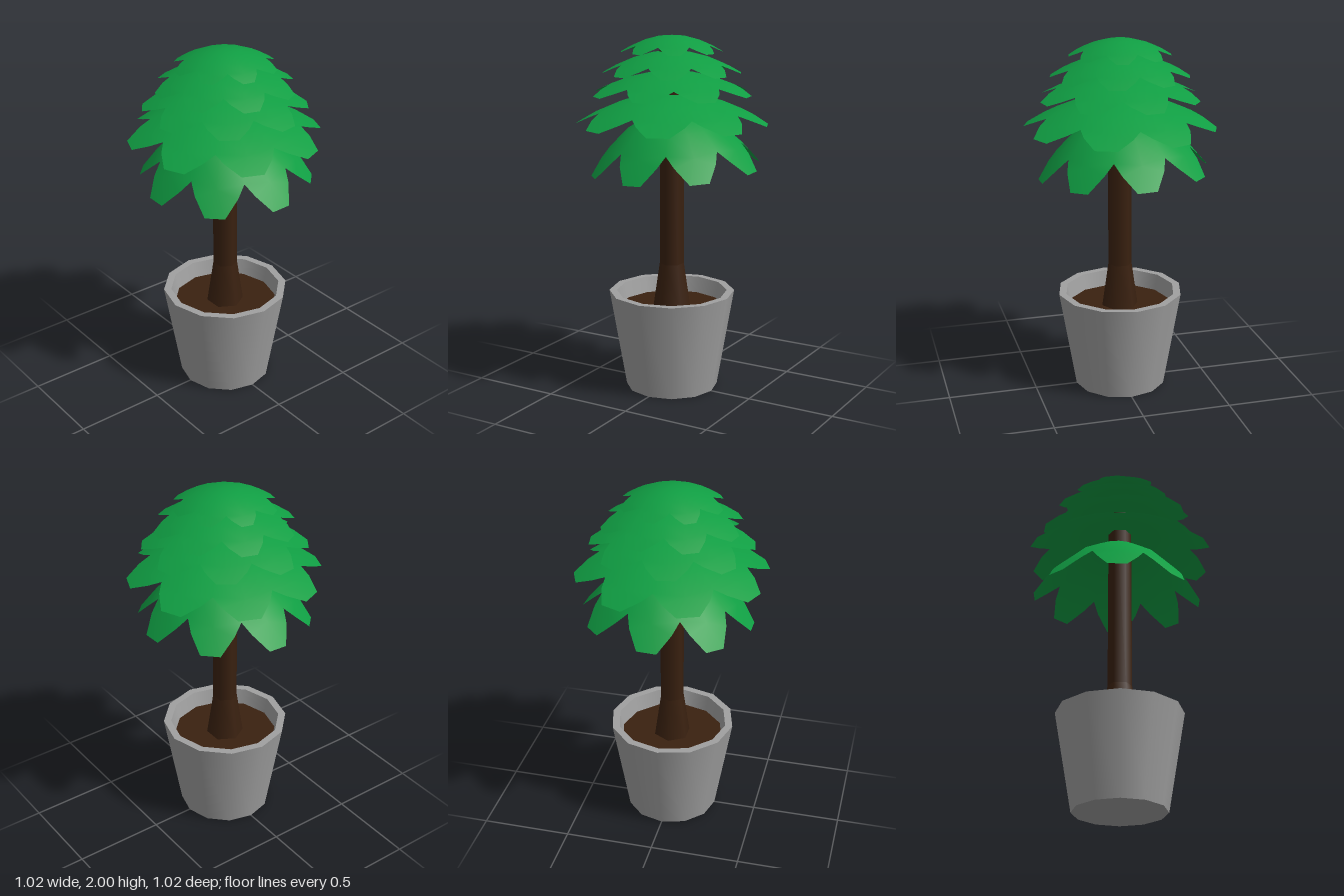
import * as THREE from 'three';
import { mergeVertices } from 'three/addons/utils/BufferGeometryUtils.js';

const LEAVES = 8;
const rad = THREE.MathUtils.degToRad;

// A dome of broad, blunt leaves joined at the middle; height falls with radius squared
function leafTier(radius, top, drop, turn) {
  const out = [];
  const tri = (...pts) => pts.forEach((p) => out.push(...p));
  const quad = (a, b, c, d) => { tri(a, b, c); tri(a, c, d); };
  for (let i = 0; i < LEAVES; i++) {
    const at = (t, offset) => {
      const a = rad(turn + (i * 360) / LEAVES + offset);
      return [radius * t * Math.cos(a), top - drop * t * t, -radius * t * Math.sin(a)];
    };
    const half = 180 / LEAVES;
    const rings = [[0.28, 0.28], [0.55, 0.55], [0.77, 0.8]].map(([edge, mid]) =>
      [at(edge, -half), at(mid, 0), at(edge, half)]);
    const centre = [0, top, 0];
    for (let s = 0; s < 2; s++) {
      tri(centre, rings[0][s], rings[0][s + 1]);
      for (let r = 0; r < 2; r++) {
        quad(rings[r][s], rings[r + 1][s], rings[r + 1][s + 1], rings[r][s + 1]);
      }
    }
    // Free end of the leaf, from notch to notch around its blunt tip
    const [v0, mid, v1] = rings[2];
    const rim = [v0, at(0.87, -16), at(1, -6.5), at(1, 6.5), at(0.87, 16), v1];
    for (let k = 0; k < rim.length - 1; k++) tri(mid, rim[k], rim[k + 1]);
  }
  const geo = new THREE.BufferGeometry();
  geo.setAttribute('position', new THREE.Float32BufferAttribute(out, 3));
  const merged = mergeVertices(geo, 1e-4);
  merged.computeVertexNormals();
  return merged;
}

export function createModel() {
  const model = new THREE.Group();
  model.name = 'pottedTree';

  const potGrey = new THREE.MeshStandardMaterial({ color: 0xa0a0a0 });
  potGrey.name = 'potGrey';
  const barkBrown = new THREE.MeshStandardMaterial({ color: 0x3a2110 });
  barkBrown.name = 'barkBrown';
  const leafGreen = new THREE.MeshStandardMaterial({ color: 0x109e43, side: THREE.DoubleSide });
  leafGreen.name = 'leafGreen';

  const add = (parent, name, geometry, material) => {
    const mesh = new THREE.Mesh(geometry, material);
    mesh.name = name;
    parent.add(mesh);
    return mesh;
  };
  const lathe = (sides, ...pts) =>
    new THREE.LatheGeometry(pts.map(([x, y]) => new THREE.Vector2(x, y)), sides);

  // Pot: separate bands keep the rim edges sharp
  const pot = new THREE.Group();
  pot.name = 'pot';
  model.add(pot);
  add(pot, 'potBottom', lathe(12, [0, 0], [0.26, 0]), potGrey);
  add(pot, 'potOuterWall', lathe(12, [0.26, 0], [0.355, 0.56]), potGrey);
  add(pot, 'potRim', lathe(12, [0.355, 0.56], [0.313, 0.56]), potGrey);
  add(pot, 'potInnerWall', lathe(12, [0.313, 0.56], [0.29, 0.46]), potGrey);
  add(pot, 'soil', lathe(12, [0.293, 0.47], [0, 0.47]), barkBrown);

  // Six-sided trunk with a flared foot
  const trunk = new THREE.Group();
  trunk.name = 'trunk';
  trunk.rotation.y = Math.PI / 6;
  model.add(trunk);
  add(trunk, 'trunkFoot', lathe(6, [0.105, 0.465], [0.068, 0.72]), barkBrown);
  add(trunk, 'trunkStem', lathe(6, [0.068, 0.72], [0.066, 1.93]), barkBrown);

  // Leaf tiers, lowest first: radius, top, drop, turn in degrees
  const crown = new THREE.Group();
  crown.name = 'crown';
  model.add(crown);
  const tiers = [
    [0.475, 1.6, 0.34, 0],
    [0.53, 1.685, 0.17, 22.5],
    [0.445, 1.805, 0.125, 9.5],
    [0.38, 1.915, 0.12, 28],
    [0.278, 2.0, 0.09, 33],
  ];
  tiers.forEach(([radius, top, drop, turn], i) => {
    add(crown, `leafTier${i + 1}`, leafTier(radius, top, drop, turn), leafGreen);
  });

  // The lowest tier leans slightly towards the front left
  const lowest = crown.children[0];
  lowest.geometry.translate(0, -1.6, 0);
  lowest.position.set(-0.005, 1.6, -0.005);
  lowest.rotation.set(0.04, 0, -0.04);

  return model;
}
